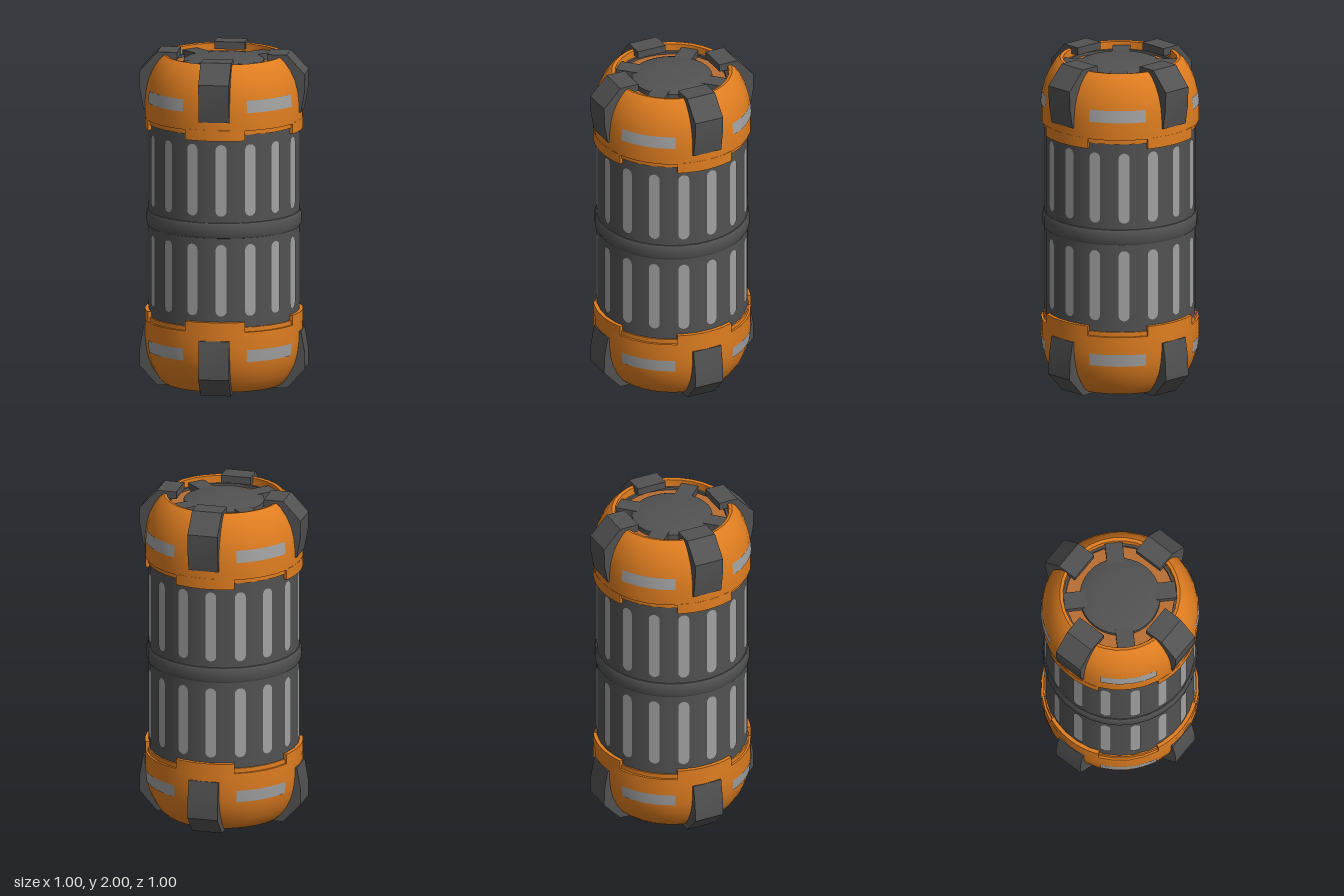
import * as THREE from 'three';
import { toCreasedNormals } from 'three/addons/utils/BufferGeometryUtils.js';

const SEG = 32;
const TILT = THREE.MathUtils.degToRad(7.2);
const deg = THREE.MathUtils.degToRad;

export function createModel() {
  const mat = (name, color, side = THREE.FrontSide) => {
    const m = new THREE.MeshStandardMaterial({ color, side });
    m.name = name;
    return m;
  };
  const dark = mat('dark grey metal', 0x525252);
  const orange = mat('orange paint', 0xdf7d20);
  const rust = mat('dull orange floor', 0xb96d33);
  const light = mat('light grey panel', 0xa2a2a2, THREE.DoubleSide);

  const add = (parent, name, geometry, material) => {
    const mesh = new THREE.Mesh(geometry, material);
    mesh.name = name;
    parent.add(mesh);
    return mesh;
  };

  // Surface of revolution from [radius, y] pairs, bottom to top
  const lathe = (pts, start = 0, length = Math.PI * 2, seg = SEG) =>
    toCreasedNormals(
      new THREE.LatheGeometry(pts.map(([r, y]) => new THREE.Vector2(r, y)), seg, start, length),
      deg(32));

  // Block shaped like a slice of a ring, centred on +z
  const arcBlock = (r0, r1, half, y0, y1) => {
    const s = new THREE.Shape();
    s.absarc(0, 0, r1, -Math.PI / 2 - half, -Math.PI / 2 + half, false);
    s.absarc(0, 0, r0, -Math.PI / 2 + half, -Math.PI / 2 - half, true);
    const g = new THREE.ExtrudeGeometry(s, { depth: y1 - y0, bevelEnabled: false, curveSegments: 8 });
    g.rotateX(-Math.PI / 2);
    g.translate(0, y0, 0);
    return toCreasedNormals(g, deg(32));
  };

  // Bracket profile (radius, y) extruded across its width, facing +z
  const clampGeometry = () => {
    const s = new THREE.Shape([
      [0.43, 1.66], [0.468, 1.657], [0.49, 1.78], [0.492, 1.885], [0.385, 2],
      [0.267, 2], [0.267, 1.955], [0.35, 1.95], [0.41, 1.88],
    ].map(([r, y]) => new THREE.Vector2(r, y)));
    const g = new THREE.ExtrudeGeometry(s, { depth: 0.182, bevelEnabled: false });
    g.translate(0, 0, -0.091);
    g.rotateY(-Math.PI / 2);
    return toCreasedNormals(g, deg(15));
  };

  // Upright strip with round ends
  const stripGeometry = (w, h) => {
    const r = w / 2, s = new THREE.Shape();
    s.absarc(0, h / 2 - r, r, 0, Math.PI, false);
    s.absarc(0, -h / 2 + r, r, Math.PI, Math.PI * 2, false);
    return new THREE.ShapeGeometry(s, 8);
  };

  const model = new THREE.Group();
  model.name = 'canister';

  // Barrel and middle band
  add(model, 'barrel', new THREE.CylinderGeometry(0.445, 0.445, 1.3, SEG, 1, true).translate(0, 1, 0), dark);
  add(model, 'middleBand', lathe([
    [0.44, 0.955], [0.45, 0.958], [0.457, 0.972], [0.457, 1.035], [0.45, 1.049], [0.44, 1.052],
  ]), dark);

  // Two rows of light strips around the barrel
  const strip = stripGeometry(0.065, 0.43);
  for (const y of [0.705, 1.305]) {
    for (let i = 0; i < 16; i++) {
      const a = deg(12.2 + i * 22.5);
      const m = add(model, 'barrelStrip', strip, light);
      m.position.set(Math.sin(a) * 0.4475, y, Math.cos(a) * 0.4475);
      m.rotation.y = a;
    }
  }

  const clamp = clampGeometry();
  const tab = arcBlock(0.44, 0.466, deg(22.5), 1.545, 1.61);
  const spoke = new THREE.BoxGeometry(0.105, 0.045, 0.14).translate(0, 1.9375, 0.262);
  const badge = lathe([[0.4685, 1.712], [0.4655, 1.745], [0.461, 1.785]], deg(-21), deg(42), 10);

  const makeEnd = () => {
    const end = new THREE.Group();
    end.name = 'endCap';
    // Shell with stepped lower lip and a recessed opening
    add(end, 'capShell', lathe([
      [0.44, 1.578], [0.453, 1.578], [0.453, 1.605], [0.466, 1.605], [0.466, 1.71], [0.458, 1.785],
      [0.442, 1.85], [0.415, 1.91], [0.382, 1.96], [0.355, 1.984], [0.336, 1.98], [0.334, 1.91],
    ]), orange);
    add(end, 'recessRing', lathe([[0.34, 1.935], [0.32, 1.935], [0.318, 1.91]]), dark);
    add(end, 'recessFloor', new THREE.CircleGeometry(0.336, SEG).rotateX(-Math.PI / 2).translate(0, 1.92, 0), rust);
    // Domed hub
    add(end, 'hub', lathe([
      [0.238, 1.91], [0.238, 1.95], [0.22, 1.958], [0.15, 1.967], [0.07, 1.973], [0, 1.975],
    ]), dark);
    for (let i = 0; i < 4; i++) {
      const a = i * Math.PI / 2;
      add(end, 'clamp', clamp, dark).rotation.y = a;
      add(end, 'lipTab', tab, orange).rotation.y = a;
      add(end, 'spoke', spoke, dark).rotation.y = a + Math.PI / 4;
      add(end, 'capPanel', badge, light).rotation.y = a + Math.PI / 4;
    }
    return end;
  };

  // Top end, and the same end turned over for the bottom
  const ends = new THREE.Group();
  ends.name = 'ends';
  ends.rotation.y = TILT;
  const bottom = makeEnd();
  bottom.rotation.z = Math.PI;
  bottom.position.y = 2;
  ends.add(makeEnd(), bottom);
  model.add(ends);

  return model;
}
